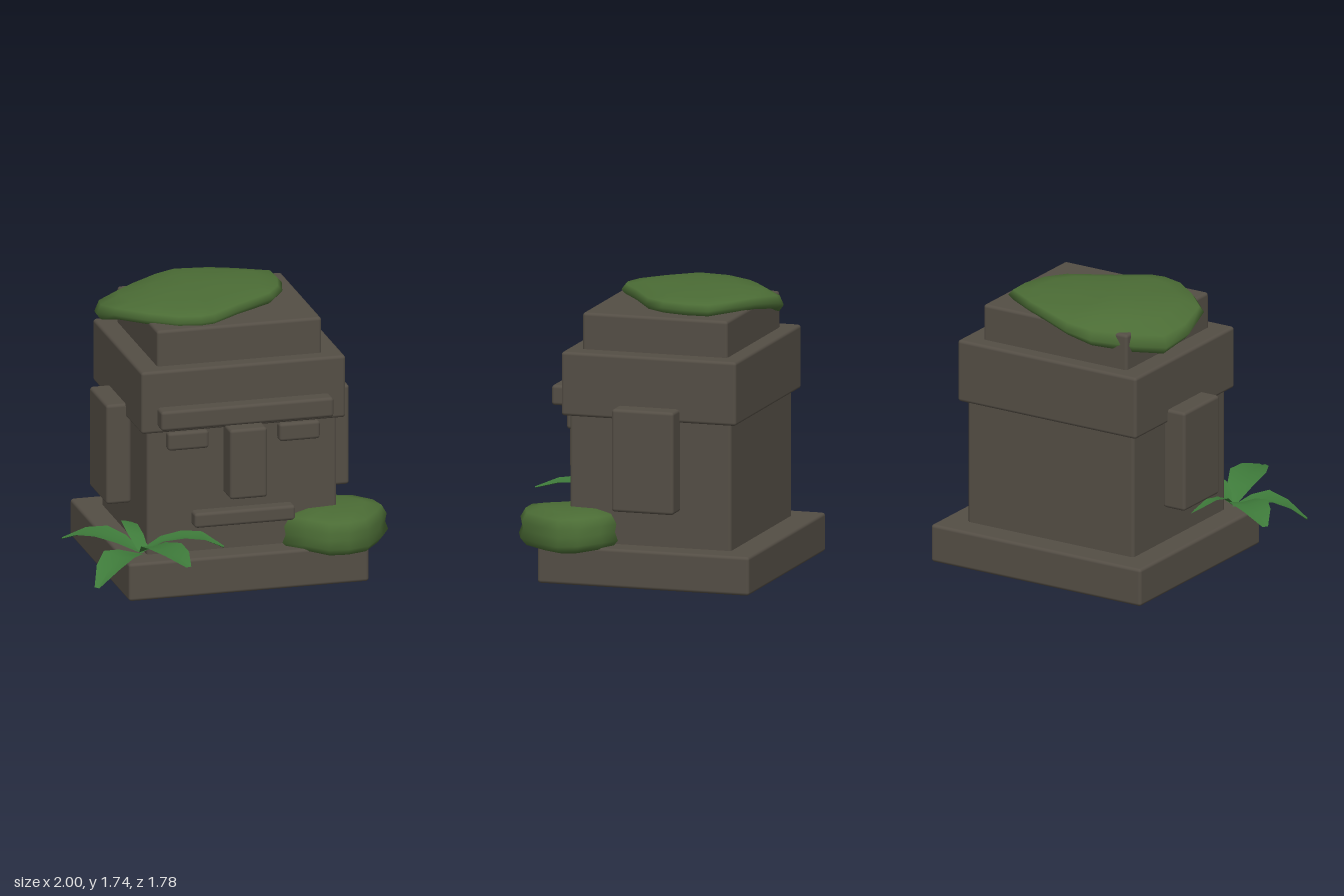
import * as THREE from 'three';
import { mergeVertices } from 'three/addons/utils/BufferGeometryUtils.js';
import { RoundedBoxGeometry } from 'three/addons/geometries/RoundedBoxGeometry.js';

const material = (name, color, side = THREE.FrontSide) => {
  const m = new THREE.MeshStandardMaterial({ color, side });
  m.name = name;
  return m;
};

// Bevelled stone block given by its extents on each axis
function block(name, [x0, x1], [y0, y1], [z0, z1], mat) {
  const mesh = new THREE.Mesh(new RoundedBoxGeometry(x1 - x0, y1 - y0, z1 - z0, 2, 0.02), mat);
  mesh.position.set((x0 + x1) / 2, (y0 + y1) / 2, (z0 + z1) / 2);
  mesh.name = name;
  return mesh;
}

// Smooth indexed surface over a list of rows of points
function surface(rows, closed) {
  const n = rows[0].length, index = [];
  for (let r = 0; r < rows.length - 1; r++) {
    for (let i = 0; i < (closed ? n : n - 1); i++) {
      const j = (i + 1) % n;
      const a = r * n + i, b = r * n + j, c = a + n, d = b + n;
      index.push(a, c, b, b, c, d);
    }
  }
  let geo = new THREE.BufferGeometry();
  geo.setAttribute('position', new THREE.Float32BufferAttribute(rows.flat(2), 3));
  geo.setIndex(index);
  geo = mergeVertices(geo, 1e-4);
  geo.computeVertexNormals();
  return geo;
}

// Moss cushion: an x/z outline scaled through layers of [scale, height], bottom to top
function cushion(name, outline, [cx, cz], layers, sag, mat) {
  const rows = layers.map(([s, y], k) => outline.map(([px, pz]) => {
    const x = cx + (px - cx) * s, z = cz + (pz - cz) * s;
    return [x, y + sag(x, z, k / (layers.length - 1)), z];
  }));
  const mesh = new THREE.Mesh(surface(rows, true), mat);
  mesh.name = name;
  return mesh;
}

// Folded leaf arching from the crown; heights are sampled along its length
function leaf(angle, length, heights, mat) {
  const a = THREE.MathUtils.degToRad(angle);
  const dx = Math.cos(a), dz = Math.sin(a);
  const widths = [0.015, 0.085, 0.115, 0.085, 0.018];
  const rows = widths.map((w, i) => [-1, 0, 1].map(s => {
    const r = length * i / 4 - (s ? 0 : 0.01);
    return [dx * r - dz * w * s, heights[i] - (s ? 0 : w * 0.2), dz * r + dx * w * s];
  }));
  const mesh = new THREE.Mesh(surface(rows, false), mat);
  mesh.name = 'leaf';
  return mesh;
}

export function createModel() {
  const group = new THREE.Group();
  group.name = 'mossyStoneIdol';
  const stone = material('stone', 0x544e45);
  const moss = material('moss', 0x4b6c35);
  const foliage = material('foliage', 0x3e7a3a, THREE.DoubleSide);

  // Stacked stone blocks
  group.add(
    block('base', [-0.68, 0.83], [0, 0.24], [-0.895, 0.455], stone),
    block('face', [-0.525, 0.67], [0.22, 1.05], [-0.73, 0.3], stone),
    block('forehead', [-0.57, 0.715], [1.02, 1.415], [-0.775, 0.34], stone),
    block('crown', [-0.445, 0.59], [1.39, 1.64], [-0.68, 0.245], stone),
    // Facial features
    block('brow', [-0.47, 0.615], [1.06, 1.185], [0.25, 0.435], stone),
    block('nose', [-0.045, 0.19], [0.595, 1.04], [0.2, 0.46], stone),
    block('mouth', [-0.245, 0.39], [0.405, 0.5], [0.2, 0.38], stone),
  );
  for (const x of [-0.278, 0.422]) {
    group.add(block('eye', [x - 0.128, x + 0.128], [0.905, 1.02], [0.2, 0.36], stone));
  }
  for (const x of [-0.612, 0.758]) {
    group.add(block('ear', [x - 0.079, x + 0.079], [0.47, 1.105], [-0.415, -0.02], stone));
  }

  // Moss draped over the top, sagging past the back right corner
  const topOutline = [
    [0.51, -0.38], [0.47, -0.22], [0.38, -0.09], [0.12, 0.07], [-0.07, 0.21], [-0.16, 0.225],
    [-0.3, 0.19], [-0.46, 0.07], [-0.63, -0.1], [-0.67, -0.33], [-0.63, -0.52], [-0.47, -0.64],
    [-0.24, -0.77], [-0.08, -0.8], [0.15, -0.72], [0.3, -0.65], [0.505, -0.53],
  ];
  group.add(cushion('topMoss', topOutline, [-0.1, -0.32],
    [[0, 1.63], [0.6, 1.63], [0.94, 1.63], [1, 1.665], [0.95, 1.7], [0.75, 1.72], [0.4, 1.735], [0, 1.738]],
    (x, z, t) => 0.02 * x - (1 - t) * 0.5 * Math.max(0, -x - z - 0.78), moss));

  // Moss lump on the front left corner of the base
  const lumpOutline = [
    [1, 0.27], [0.93, 0.4], [0.8, 0.57], [0.66, 0.625], [0.53, 0.62], [0.42, 0.47], [0.31, 0.36],
    [0.37, 0.24], [0.47, 0.12], [0.6, 0.02], [0.72, -0.025], [0.85, 0.03], [0.97, 0.15],
  ];
  group.add(cushion('baseMoss', lumpOutline, [0.67, 0.3],
    [[0, 0.2], [0.6, 0.2], [0.88, 0.225], [1, 0.27], [0.94, 0.32], [0.97, 0.37], [0.87, 0.425], [0.55, 0.45], [0, 0.455]],
    (x, z, t) => t * 0.03 * Math.sin(x * 9 + z * 5) * (1 - t), moss));

  // Leafy plant at the front right corner
  const plant = new THREE.Group();
  plant.name = 'plant';
  plant.position.set(-0.57, 0, 0.33);
  const leaves = [
    [9, 0.51, [0.27, 0.36, 0.385, 0.36, 0.285]],
    [75, 0.57, [0.27, 0.36, 0.39, 0.38, 0.335]],
    [142, 0.45, [0.26, 0.3, 0.315, 0.26, 0.16]],
    [216, 0.52, [0.27, 0.34, 0.375, 0.36, 0.3]],
    [284, 0.5, [0.27, 0.36, 0.39, 0.35, 0.29]],
  ];
  for (const [angle, length, heights] of leaves) plant.add(leaf(angle, length, heights, foliage));
  group.add(plant);
  return group;
}
